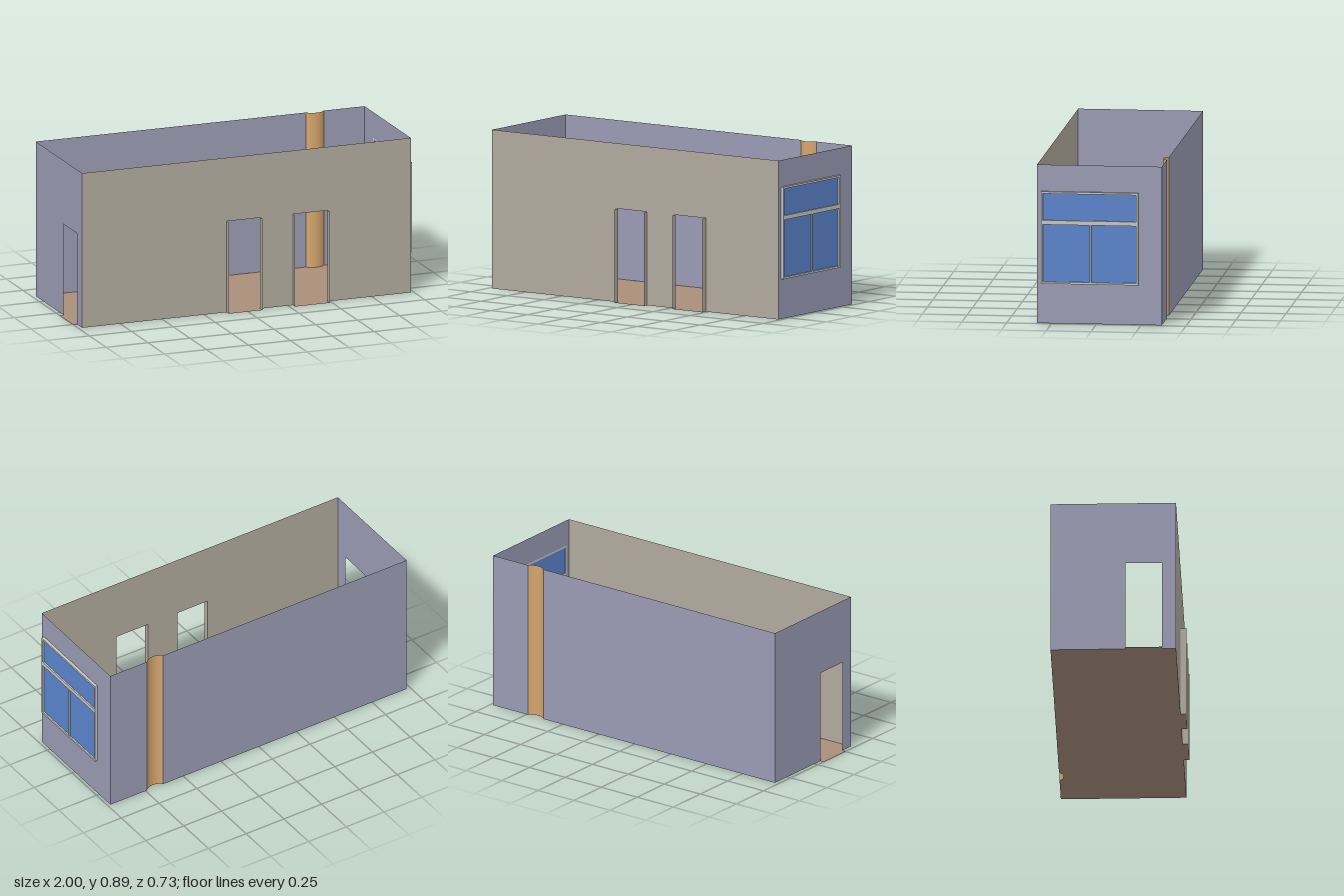
import * as THREE from 'three';

const X0 = -0.977, X1 = 0.983;          // side walls
const ZB = -0.364, ZF = 0.332;          // back and front walls
const H = 0.89, DOOR_H = 0.524, PORCH_Z = 0.364;
const FRONT_DOORS = [[-0.115, 0.085], [0.28, 0.487]];
const SIDE_DOOR = [0.052, 0.255];
const COLUMN = { x: 0.687, z: -0.409, r: 0.07, half: 0.87 };

const mat = (name, color) => {
  const m = new THREE.MeshStandardMaterial({ color, side: THREE.DoubleSide });
  m.name = name;
  return m;
};

const shapeOf = pts => new THREE.Shape(pts.map(p => new THREE.Vector2(...p)));
const rect = (a, b, c, d) => [[a, b], [c, b], [c, d], [a, d]];

// Wall outline from a to b with door notches cut up from the ground
function wallShape(a, b, doors = []) {
  const pts = [[a, 0]];
  for (const [l, r] of doors) pts.push([l, 0], [l, DOOR_H], [r, DOOR_H], [r, 0]);
  pts.push([b, 0], [b, H], [a, H]);
  return shapeOf(pts);
}

export function createModel() {
  const model = new THREE.Group();
  model.name = 'room';
  const beige = mat('beige wall', 0xb0a99d);
  const blueGrey = mat('blue grey wall', 0x9a9bb3);
  const brown = mat('brown floor', 0xa98f7b);
  const orange = mat('orange column', 0xd4a56e);
  const white = mat('window frame', 0xc6c6c2);
  const blue = mat('window glass', 0x5b84cc);

  const add = (name, geo, material, parent = model) => {
    const mesh = new THREE.Mesh(geo, material);
    mesh.name = name;
    parent.add(mesh);
    return mesh;
  };

  // Floor with thresholds at the doors and a notch for the column
  const floor = [[X0, ZB], [X0, SIDE_DOOR[0]], [-1, SIDE_DOOR[0]], [-1, SIDE_DOOR[1]], [X0, SIDE_DOOR[1]], [X0, ZF]];
  for (const [l, r] of FRONT_DOORS) floor.push([l, ZF], [l, PORCH_Z], [r, PORCH_Z], [r, ZF]);
  floor.push([X1, ZF], [X1, ZB]);
  const floorShape = shapeOf(floor);
  floorShape.absarc(COLUMN.x, COLUMN.z, COLUMN.r, Math.PI / 2 - COLUMN.half, Math.PI / 2 + COLUMN.half, false);
  add('floor', new THREE.ShapeGeometry(floorShape, 12).rotateX(Math.PI / 2), brown);

  // Front wall and its door jambs
  add('frontWall', new THREE.ShapeGeometry(wallShape(X0, X1, FRONT_DOORS)).translate(0, 0, ZF), beige);
  for (const x of FRONT_DOORS.flat()) {
    const jamb = new THREE.PlaneGeometry(PORCH_Z - ZF, DOOR_H).rotateY(Math.PI / 2);
    add('doorJamb', jamb.translate(x, DOOR_H / 2, (PORCH_Z + ZF) / 2), beige);
  }

  // Back wall on both sides of the rounded column
  const w = COLUMN.r * Math.sin(COLUMN.half);
  for (const [a, b] of [[X0, COLUMN.x - w], [COLUMN.x + w, X1]]) {
    add('backWall', new THREE.ShapeGeometry(wallShape(a, b)).rotateY(Math.PI)
      .scale(-1, 1, 1).translate(0, 0, ZB), blueGrey);
  }
  const column = new THREE.CylinderGeometry(COLUMN.r, COLUMN.r, H, 12, 1, true, -COLUMN.half, 2 * COLUMN.half);
  add('column', column.translate(COLUMN.x, H / 2, COLUMN.z), orange);

  // Side walls, drawn with z along the shape's first axis
  const turn = -Math.PI / 2;
  add('doorWall', new THREE.ShapeGeometry(wallShape(ZB, ZF, [SIDE_DOOR])).rotateY(turn).translate(X0, 0, 0), blueGrey);

  const outer = rect(-0.234, 0.224, 0.309, 0.741);
  const windowWall = wallShape(ZB, ZF);
  windowWall.holes.push(shapeOf(outer));
  add('windowWall', new THREE.ShapeGeometry(windowWall).rotateY(turn).translate(X1, 0, 0), blueGrey);

  // Window frame with three panes
  const win = new THREE.Group();
  win.name = 'window';
  model.add(win);
  const panes = [
    [-0.222, 0.235, 0.028, 0.556],
    [0.037, 0.235, 0.299, 0.556],
    [-0.222, 0.58, 0.299, 0.73],
  ];
  const frame = shapeOf(outer);
  for (const p of panes) frame.holes.push(shapeOf(rect(...p)));
  const depth = 1 - X1;
  add('windowFrame', new THREE.ExtrudeGeometry(frame, { depth, bevelEnabled: false })
    .rotateY(turn).translate(1, 0, 0), white, win);
  for (const [a, b, c, d] of panes) {
    add('windowPane', new THREE.BoxGeometry(0.004, d - b, c - a)
      .translate(X1 + 0.006, (b + d) / 2, (a + c) / 2), blue, win);
  }
  return model;
}
